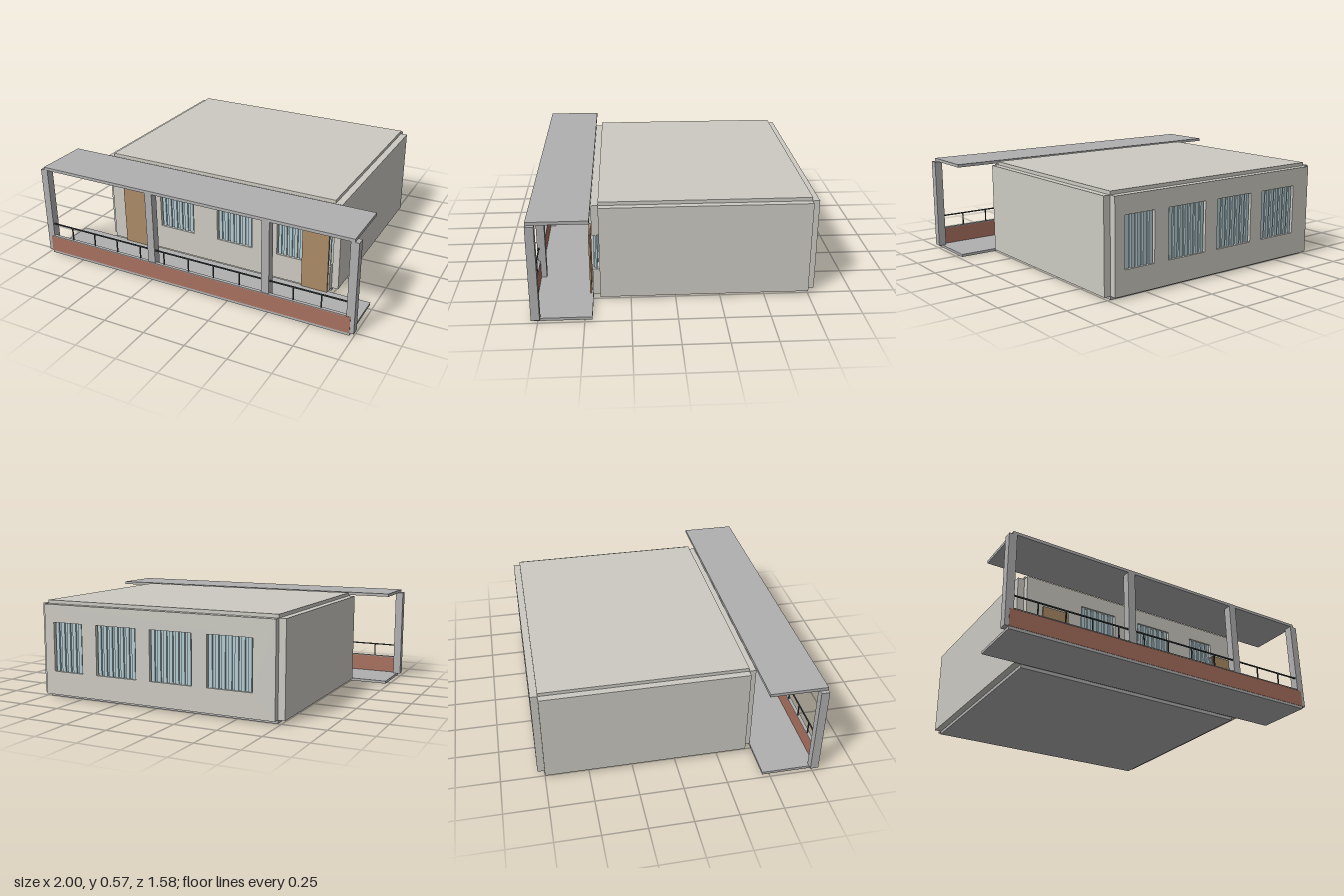
import * as THREE from 'three';

const mat = (color) => new THREE.MeshStandardMaterial({ color, flatShading: true });
const wallMat = mat(0xcccac2), concrete = mat(0xb0b0b0), glass = mat(0xb4ccd2);
const brick = mat(0xa8705e), wood = mat(0xab8c66), iron = mat(0x3c4244);

// Box given by its limits on each axis
function box(parent, name, material, x0, x1, y0, y1, z0, z1) {
  const mesh = new THREE.Mesh(new THREE.BoxGeometry(x1 - x0, y1 - y0, z1 - z0), material);
  mesh.position.set((x0 + x1) / 2, (y0 + y1) / 2, (z0 + z1) / 2);
  mesh.name = name;
  parent.add(mesh);
  return mesh;
}

const outline = (points) => points.map(([x, y]) => new THREE.Vector2(x, y));

// Upright wall with rectangular window holes
function wall(parent, name, points, holes, z0, depth) {
  const shape = new THREE.Shape(outline(points));
  for (const [x0, x1, y0, y1] of holes) {
    shape.holes.push(new THREE.Path(outline([[x0, y0], [x0, y1], [x1, y1], [x1, y0]])));
  }
  const mesh = new THREE.Mesh(new THREE.ExtrudeGeometry(shape, { depth, bevelEnabled: false }), wallMat);
  mesh.position.z = z0;
  mesh.name = name;
  parent.add(mesh);
}

// Glass pane with raised vertical slats; out is +1 or -1 for the outer side
function slattedWindow(parent, name, [x0, x1, y0, y1], z, out) {
  const group = new THREE.Group();
  group.name = name;
  box(group, 'pane', glass, x0, x1, y0, y1, z - 0.005, z + 0.005);
  const count = Math.round((x1 - x0) / 0.036);
  const step = (x1 - x0) / count;
  for (let i = 0; i < count; i++) {
    const x = x0 + (i + 0.5) * step;
    const near = z + out * 0.005, far = z + out * 0.015;
    box(group, 'slat', glass, x - step * 0.28, x + step * 0.28, y0, y1,
      Math.min(near, far), Math.max(near, far));
  }
  parent.add(group);
}

export function createModel() {
  const model = new THREE.Group();
  model.name = 'house';

  // Main volume: floor and roof slabs framed by four walls
  const house = new THREE.Group();
  house.name = 'mainBuilding';
  model.add(house);
  box(house, 'floorSlab', concrete, -0.73, 0.73, 0, 0.02, -0.75, 0.42);
  box(house, 'roofSlab', wallMat, -0.73, 0.73, 0.555, 0.575, -0.75, 0.42);
  for (const s of [-1, 1]) {
    const x = s * 0.75;
    box(house, s > 0 ? 'leftWall' : 'rightWall', wallMat, x - 0.02, x + 0.02, 0.02, 0.555, -0.75, 0.42);
  }

  // Front wall; the last window opening runs on behind the door to the wall end
  const frontWindows = [[-0.38, -0.15, 0.175, 0.465], [0.01, 0.24, 0.175, 0.465]];
  wall(house, 'frontWall', [
    [-0.73, 0.02], [0.73, 0.02], [0.73, 0.175], [0.4, 0.175], [0.4, 0.465],
    [0.565, 0.465], [0.565, 0.38], [0.73, 0.38], [0.73, 0.555], [-0.73, 0.555],
  ], frontWindows, 0.42, 0.04);
  for (const w of frontWindows) slattedWindow(house, 'frontWindow', w, 0.436, 1);
  slattedWindow(house, 'frontWindow', [0.4, 0.565, 0.175, 0.465], 0.436, 1);
  slattedWindow(house, 'windowBehindDoor', [0.565, 0.725, 0.175, 0.38], 0.436, 1);

  // Back wall with four windows
  const backWindows = [[0.47, 0.667], [0.11, 0.373], [-0.243, 0.02], [-0.602, -0.334]]
    .map(([a, b]) => [a, b, 0.16, 0.45]);
  wall(house, 'backWall', [[-0.73, 0.02], [0.73, 0.02], [0.73, 0.555], [-0.73, 0.555]],
    backWindows, -0.79, 0.04);
  for (const w of backWindows) slattedWindow(house, 'backWindow', w, -0.766, -1);

  // Doors stand just in front of the wall
  for (const x of [-0.635, 0.565]) box(house, 'door', wood, x, x + 0.16, 0.02, 0.38, 0.469, 0.479);

  // Porch slabs, columns and parapet
  const porch = new THREE.Group();
  porch.name = 'porch';
  model.add(porch);
  box(porch, 'porchFloor', concrete, -0.977, 0.977, 0, 0.016, 0.46, 0.785);
  box(porch, 'porchRoof', concrete, -0.977, 0.977, 0.557, 0.575, 0.46, 0.785);
  for (const x of [-0.977, -0.245, 0.483, 0.977]) {
    box(porch, 'column', concrete, x - 0.023, x + 0.023, 0.016, 0.557, 0.738, 0.785);
  }
  box(porch, 'parapet', brick, -0.977, 0.977, 0.016, 0.116, 0.77, 0.787);
  box(porch, 'parapetCap', concrete, -0.955, 0.955, 0.116, 0.121, 0.77, 0.79);

  // Railing on the parapet
  box(porch, 'handrail', iron, -0.955, 0.955, 0.196, 0.203, 0.772, 0.779);
  for (let i = -5; i <= 5; i++) {
    const x = i * 0.1625 - 0.003;
    box(porch, 'railPost', iron, x - 0.003, x + 0.003, 0.12, 0.198, 0.7725, 0.7785);
  }
  return model;
}
